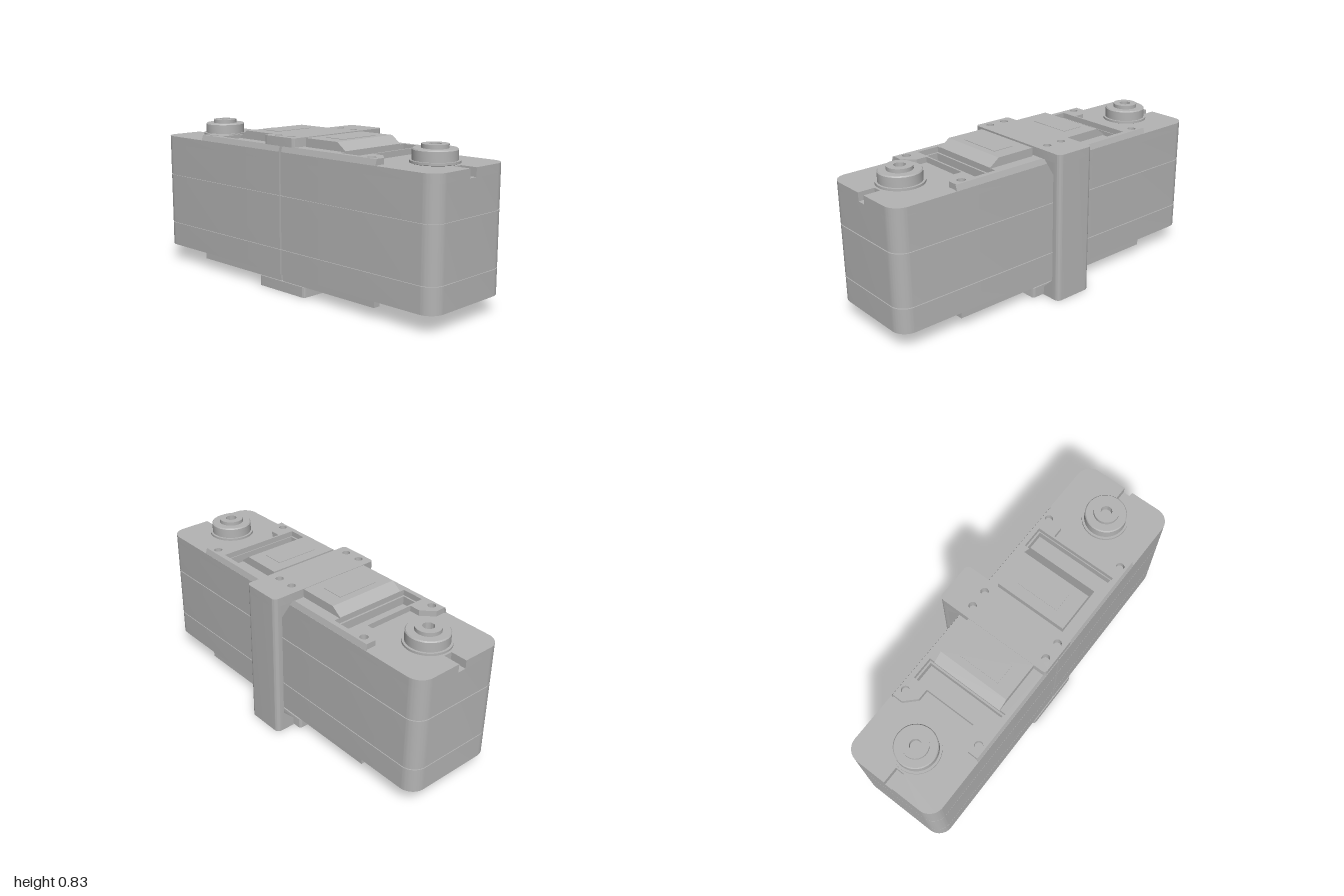
import * as THREE from 'three';
import { toCreasedNormals } from 'three/addons/utils/BufferGeometryUtils.js';

const grey = new THREE.MeshStandardMaterial({ color: 0xb4b4b4 });
grey.name = 'grey casing';

function add(group, name, geometry) {
  const mesh = new THREE.Mesh(toCreasedNormals(geometry, 0.55), grey);
  mesh.name = name;
  group.add(mesh);
  return mesh;
}

// Plan outline (x, z) given thickness between two heights
function slab(shape, y0, y1) {
  return new THREE.ExtrudeGeometry(shape, { depth: y1 - y0, bevelEnabled: false, curveSegments: 10 })
    .rotateX(Math.PI / 2).translate(0, y1, 0);
}

// Side profile (z, y) given a width centred on x = 0
function acrossX(points, width) {
  return new THREE.ExtrudeGeometry(poly(points), { depth: width, bevelEnabled: false })
    .rotateY(-Math.PI / 2).translate(width / 2, 0, 0);
}

const poly = (points) => new THREE.Shape(points.map(([a, b]) => new THREE.Vector2(a, b)));

function withHoles(shape, xs, zs, r) {
  for (const x of xs) for (const z of zs) {
    shape.holes.push(new THREE.Path().absarc(x, z, r, 0, Math.PI * 2, true));
  }
  return shape;
}

function rectHole(shape, x0, z0, x1, z1) {
  shape.holes.push(new THREE.Path([[x0, z0], [x0, z1], [x1, z1], [x1, z0]].map(([a, b]) => new THREE.Vector2(a, b))));
  return shape;
}

// Rectangle with its own radius at the low-x and high-x corners
function roundRect(x0, x1, z0, z1, rl, rr) {
  const s = new THREE.Shape();
  s.moveTo(x0 + rl, z0);
  s.lineTo(x1 - rr, z0);
  if (rr) s.absarc(x1 - rr, z0 + rr, rr, -Math.PI / 2, 0, false);
  s.lineTo(x1, z1 - rr);
  if (rr) s.absarc(x1 - rr, z1 - rr, rr, 0, Math.PI / 2, false);
  s.lineTo(x0 + rl, z1);
  if (rl) s.absarc(x0 + rl, z1 - rl, rl, Math.PI / 2, Math.PI, false);
  s.lineTo(x0, z0 + rl);
  if (rl) s.absarc(x0 + rl, z0 + rl, rl, Math.PI, Math.PI * 1.5, false);
  return s;
}

// Case outline: square at the inner end, rounded at the outer end
function caseOutline(inset, notched) {
  const w = 0.2725 - inset, end = 1 - inset, r = 0.08;
  const s = new THREE.Shape();
  s.moveTo(-w, 0.006 + inset);
  s.lineTo(w, 0.006 + inset);
  s.lineTo(w, end - r);
  s.absarc(w - r, end - r, r, 0, Math.PI / 2, false);
  if (notched) for (const [x, z] of [[0.024, end], [0.024, 0.91], [-0.024, 0.91], [-0.024, end]]) s.lineTo(x, z);
  s.lineTo(-w + r, end);
  s.absarc(-w + r, end - r, r, Math.PI / 2, Math.PI, false);
  return s;
}

// Bottom cover outline with a round bay for the output gear
function bayOutline(w, zEnd, radius) {
  const halfAngle = Math.acos(Math.min(1, (0.78 - zEnd) / radius));
  const s = new THREE.Shape();
  s.moveTo(-w, 0.006);
  s.lineTo(w, 0.006);
  s.lineTo(w, zEnd);
  s.absarc(0, 0.78, radius, -Math.PI / 2 + halfAngle, -Math.PI / 2 - halfAngle, true);
  s.lineTo(-w, zEnd);
  return s;
}

function createActuator() {
  const g = new THREE.Group();
  const screwX = [-0.2275, 0.2275];

  // Case sections, parted by fine seams
  add(g, 'lowerCase', slab(caseOutline(0), 0.09, 0.223));
  add(g, 'middleCase', slab(caseOutline(0), 0.228, 0.508));
  add(g, 'upperCase', slab(caseOutline(0), 0.513, 0.69));
  add(g, 'seamCore', slab(caseOutline(0.006), 0.2, 0.53));
  add(g, 'topDeck', slab(rectHole(caseOutline(0, true), -0.225, 0.4, 0.225, 0.51), 0.69, 0.735));

  // Raised top cover with screw ears and cross channel
  const cover = poly([[-0.262, 0.006], [0.262, 0.006], [0.262, 0.645], [0.205, 0.645], [0.145, 0.585],
    [0.145, 0.525], [-0.145, 0.525], [-0.145, 0.585], [-0.205, 0.645], [-0.262, 0.645]]);
  rectHole(withHoles(cover, screwX, [0.59], 0.022), -0.235, 0.39, 0.235, 0.515);
  add(g, 'topCover', slab(cover, 0.735, 0.765));
  for (const side of [-1, 1]) {
    const skirt = poly([[0.262, 0.735], [0.2715, 0.735], [0.262, 0.765]]);
    const geo = new THREE.ExtrudeGeometry(skirt, { depth: 0.64, bevelEnabled: false });
    if (side < 0) geo.rotateY(Math.PI).translate(0, 0, 0.65);
    else geo.translate(0, 0, 0.01);
    add(g, 'coverSkirt', geo);
  }

  // Sloped hump and its flat panel
  add(g, 'topHump', acrossX([[0.12, 0.76], [0.395, 0.76], [0.395, 0.77], [0.34, 0.81], [0.12, 0.81]], 0.405));
  add(g, 'humpPanel', new THREE.BoxGeometry(0.24, 0.003, 0.12).translate(0, 0.811, 0.24));

  // Output horn
  const hornProfile = [[0.1, 0.73], [0.122, 0.738], [0.122, 0.75], [0.11, 0.75], [0.11, 0.8], [0.105, 0.806],
    [0.066, 0.806], [0.066, 0.826], [0.03, 0.826], [0.03, 0.79], [0, 0.79]];
  add(g, 'outputHorn', new THREE.LatheGeometry(hornProfile.map(([r, y]) => new THREE.Vector2(r, y)), 40)
    .translate(0, 0, 0.78));

  // Bottom covers with the gear bay
  add(g, 'bottomCover', slab(withHoles(bayOutline(0.265, 0.645, 0.262), screwX, [0.59], 0.02), 0.055, 0.09));
  add(g, 'bottomPanel', slab(bayOutline(0.156, 0.569, 0.262), 0.035, 0.055));

  // Splined gear with a bored centre
  const teeth = 26, pts = [];
  for (let i = 0; i < teeth * 4; i++) {
    const a = (i / (teeth * 4)) * Math.PI * 2, r = i % 4 < 2 ? 0.066 : 0.058;
    pts.push([Math.cos(a) * r, Math.sin(a) * r]);
  }
  add(g, 'splinedGear', slab(withHoles(poly(pts), [0], [0], 0.036), 0.022, 0.09).translate(0, 0, 0.78));
  return g;
}

function createBracket() {
  const g = new THREE.Group();
  const holeX = [-0.285, 0.17], z0 = -0.12, z1 = 0.105;

  // Top plate and upright arm
  add(g, 'topPlate', slab(withHoles(roundRect(-0.33, 0.33, z0, z1, 0.02, 0.025), holeX, [-0.055, 0.042], 0.021), 0.765, 0.812));
  add(g, 'uprightArm', slab(roundRect(0.285, 0.33, z0, z1, 0, 0.025), 0, 0.765));

  // Corner gussets
  for (const [name, pts] of [
    ['upperGusset', [[0.285, 0.7], [0.285, 0.765], [0.22, 0.765]]],
    ['lowerGusset', [[0.22, 0], [0.285, 0], [0.285, 0.11], [0.22, 0.045]]],
  ]) {
    add(g, name, new THREE.ExtrudeGeometry(poly(pts), { depth: z1 - z0, bevelEnabled: false }).translate(0, 0, z0));
  }

  // Bottom plate with raised side rails
  const footZ = [-0.13, 0.13];
  add(g, 'bottomPlate', slab(withHoles(roundRect(-0.33, 0.215, -0.17, 0.175, 0.015, 0.015), holeX, footZ, 0.02), 0, 0.032));
  add(g, 'leftRail', slab(withHoles(roundRect(0.13, 0.215, -0.17, 0.175, 0, 0.015), [0.17], footZ, 0.02), 0.032, 0.055));
  add(g, 'rightRail', slab(withHoles(roundRect(-0.33, -0.245, -0.17, 0.175, 0.015, 0), [-0.285], footZ, 0.02), 0.032, 0.055));
  return g;
}

export function createModel() {
  const model = new THREE.Group();
  model.name = 'pairedActuators';

  // Two actuators back to back
  for (const [name, turn] of [['frontActuator', 0], ['backActuator', Math.PI]]) {
    const actuator = createActuator();
    actuator.name = name;
    actuator.position.x = -0.0575;
    actuator.rotation.y = turn;
    model.add(actuator);
  }

  const bracket = createBracket();
  bracket.name = 'bracket';
  model.add(bracket);
  return model;
}
